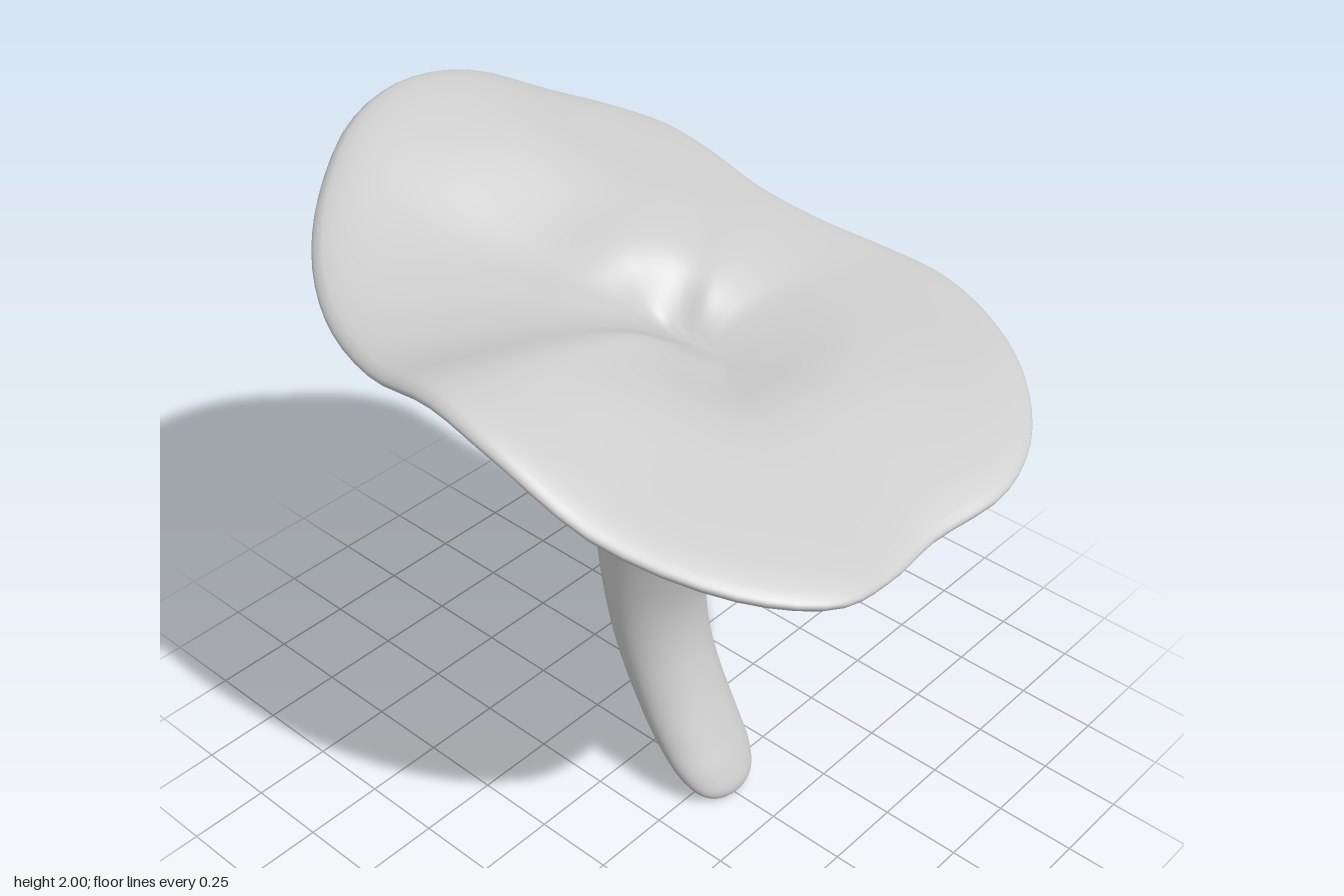
import * as THREE from 'three';
import { mergeVertices } from 'three/addons/utils/BufferGeometryUtils.js';

const SIDES = 96;
const STEPS = 7; // rows between neighbouring profile points
const V = (x, y, z) => new THREE.Vector3(x, y, z);
const { lerp } = THREE.MathUtils;

// Wavy rim of the cap: x, z, rim height, height of the shoulder around the hollow
const RIM = [
  [0.975, 0, 1.335, 1.52], [0.99, 0.2, 1.335, 1.53], [0.975, 0.4, 1.36, 1.54],
  [0.81, 0.6, 1.415, 1.57], [0.5, 0.76, 1.515, 1.62], [0.22, 0.825, 1.665, 1.66],
  [0, 0.83, 1.725, 1.69], [-0.25, 0.805, 1.69, 1.68], [-0.5, 0.725, 1.695, 1.68],
  [-0.7, 0.605, 1.745, 1.69], [-0.86, 0.44, 1.825, 1.7], [-0.97, 0.22, 1.935, 1.73],
  [-1, 0, 1.97, 1.75], [-0.97, -0.23, 1.935, 1.76], [-0.88, -0.47, 1.82, 1.75],
  [-0.76, -0.63, 1.75, 1.73], [-0.6, -0.705, 1.715, 1.7], [-0.42, -0.71, 1.685, 1.67],
  [-0.2, -0.7, 1.635, 1.64], [0, -0.74, 1.585, 1.6], [0.2, -0.805, 1.54, 1.57],
  [0.38, -0.835, 1.51, 1.56], [0.57, -0.795, 1.475, 1.55], [0.77, -0.68, 1.435, 1.54],
  [0.935, -0.49, 1.38, 1.53], [1, -0.28, 1.345, 1.52],
];

// Stem levels: y, left x, right x, half depth in z
const STEM = [
  [1.22, -0.205, 0.287, 0.195], [1.1, -0.206, 0.268, 0.165], [0.95, -0.203, 0.235, 0.155],
  [0.8, -0.183, 0.19, 0.155], [0.65, -0.15, 0.162, 0.155], [0.5, -0.102, 0.172, 0.155],
  [0.35, -0.03, 0.218, 0.155], [0.2, 0.07, 0.285, 0.155], [0.1, 0.16, 0.335, 0.145],
  [0.04, 0.228, 0.357, 0.115], [0.012, 0.268, 0.35, 0.075], [0, 0.312, 0.318, 0.005],
];

const stemPoint = ([y, x0, x1, depth], angle) =>
  V((x0 + x1) / 2 + ((x1 - x0) / 2) * Math.cos(angle), y, depth * Math.sin(angle));

// Profiles running from the hollow over the rim, along the underside and down the stem
function profiles() {
  const edge = new THREE.CatmullRomCurve3(RIM.map(([x, z, y]) => V(x, y, z)), true);
  const shoulder = new THREE.CatmullRomCurve3(RIM.map(([x, z, , s]) => V(x, s, z)), true);
  const pit = V(0.08, 1.505, -0.08);
  return Array.from({ length: SIDES }, (_, j) => {
    const rim = edge.getPoint(j / SIDES);
    const lip = shoulder.getPoint(j / SIDES).y;
    const angle = Math.atan2(rim.z, rim.x);
    const neck = stemPoint(STEM[0], angle);
    // The underside bulges lower towards the raised lobe
    const bulge = Math.max(0, -Math.cos(angle)) ** 2;
    const under = lip - 0.12 - 0.08 * bulge;
    // Point a fraction of the way from a start to the rim, at a given height
    const at = (start, f, y) => start.clone().lerp(rim, f).setY(y);
    const points = [
      pit,
      V(pit.x + 0.12 * Math.cos(angle), lerp(pit.y, lip, 0.08), pit.z + 0.035 * Math.sin(angle)),
      at(pit, 0.24, lerp(pit.y, lip, 0.68)),
      at(pit, 0.45, lip),
      at(pit, 0.72, lerp(lip, rim.y, 0.5) + 0.022 + 0.12 * Math.max(0, rim.y - lip)),
      at(pit, 0.97, rim.y + 0.026),
      rim,
      at(neck, 0.965, rim.y - 0.026),
      at(neck, 0.7, lerp(lip - 0.12, rim.y - 0.03, 0.5) + 0.01),
      at(neck, 0.4 - 0.05 * bulge, under),
      at(neck, 0.12, lerp(neck.y, under, 0.56)),
      ...STEM.map((row) => stemPoint(row, angle)),
    ];
    return new THREE.CatmullRomCurve3(points).getPoints((points.length - 1) * STEPS);
  });
}

// Skin the profiles, side by side, into one smooth closed surface
function skin(columns) {
  const rows = columns[0].length;
  const positions = [];
  const index = [];
  for (let i = 0; i < rows; i++) {
    for (let j = 0; j < SIDES; j++) {
      positions.push(...columns[j][i].toArray());
      if (i === rows - 1) continue;
      const a = i * SIDES + j, b = i * SIDES + ((j + 1) % SIDES);
      const c = a + SIDES, d = b + SIDES;
      index.push(a, b, c, b, d, c);
    }
  }
  const geometry = new THREE.BufferGeometry();
  geometry.setAttribute('position', new THREE.Float32BufferAttribute(positions, 3));
  geometry.setIndex(index);
  const merged = mergeVertices(geometry, 1e-5);
  merged.computeVertexNormals();
  return merged;
}

export function createModel() {
  const group = new THREE.Group();
  group.name = 'mushroom';
  const material = new THREE.MeshStandardMaterial({ color: 0xcccccc, side: THREE.DoubleSide });
  const body = skin(profiles());
  const faces = Array.from(body.index.array);
  const neckStart = 11 * STEPS * SIDES * 6; // first face below the flare

  const addPart = (name, part) => {
    const geometry = body.clone();
    geometry.setIndex(part);
    const mesh = new THREE.Mesh(geometry, material);
    mesh.name = name;
    group.add(mesh);
  };

  // Wavy cap with its hollow and flared underside
  addPart('cap', faces.slice(0, neckStart));

  // Curved stem tapering to a rounded foot
  addPart('stem', faces.slice(neckStart));

  return group;
}
